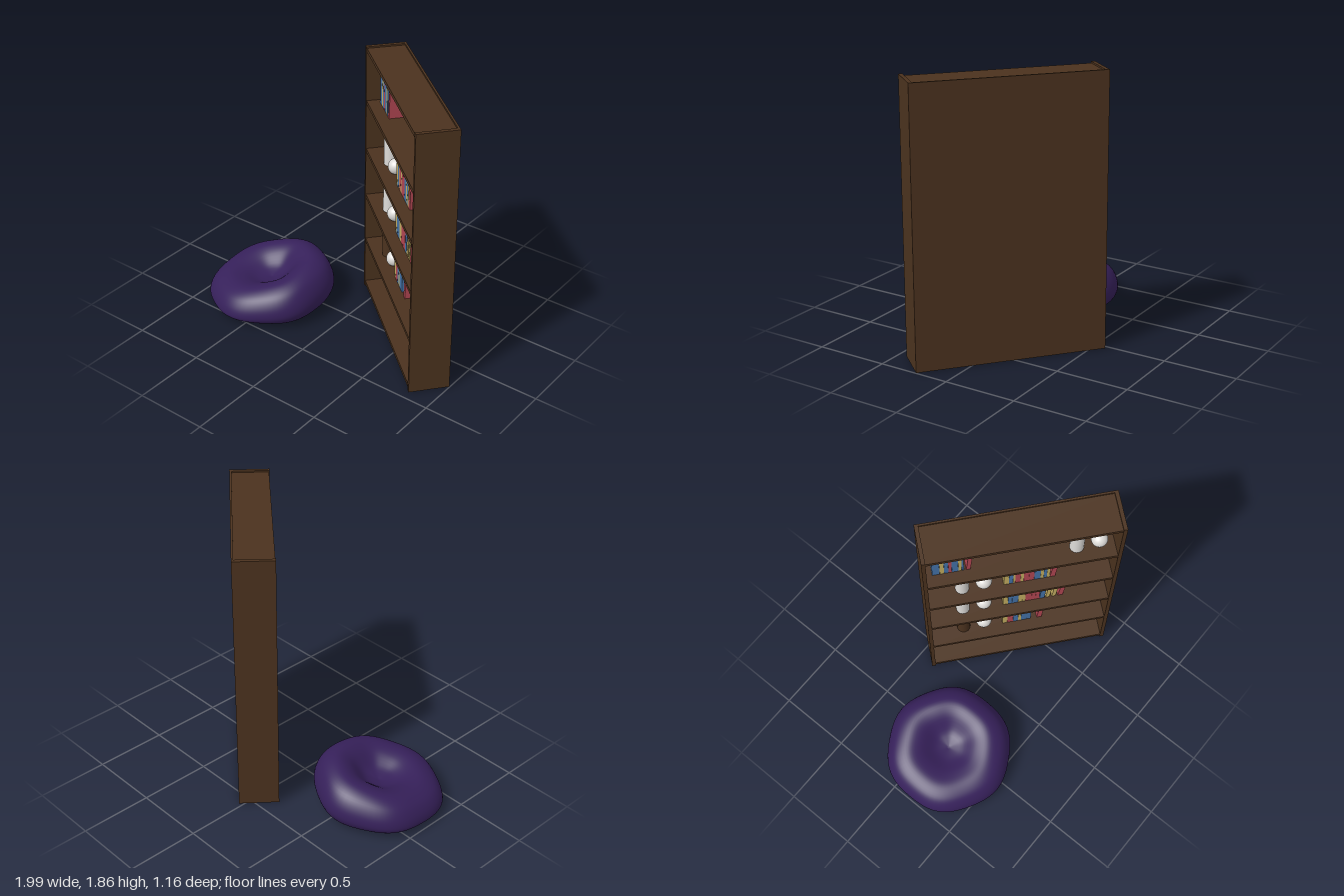
import * as THREE from 'three';
import { mergeVertices } from 'three/addons/utils/BufferGeometryUtils.js';

const material = (name, color) => {
  const m = new THREE.MeshStandardMaterial({ color });
  m.name = name;
  return m;
};

export function createModel() {
  const wood = material('walnut', 0x4b321e);
  const white = material('ceramic white', 0xdedcd9);
  const purple = material('purple fabric', 0x36205a);
  const gold = material('gold', 0xc4ad62);
  const covers = {
    r: material('red cover', 0xb34753),
    b: material('blue cover', 0x4573a8),
    y: gold,
  };

  const model = new THREE.Group();
  const bookcase = new THREE.Group();
  bookcase.name = 'bookcase';
  bookcase.position.set(0.425, 0, -0.0705);
  bookcase.rotation.y = THREE.MathUtils.degToRad(-40);
  model.add(bookcase);

  const add = (parent, name, geometry, mat, x, y, z) => {
    const mesh = new THREE.Mesh(geometry, mat);
    mesh.name = name;
    mesh.position.set(x, y, z);
    parent.add(mesh);
  };
  const box = (parent, name, w, h, d, mat, x, y, z) =>
    add(parent, name, new THREE.BoxGeometry(w, h, d), mat, x, y, z);

  // Carcass: full back panel, two sides and six boards between them
  const H = 1.857, W = 1.266, D = 0.27, T = 0.026, B = 0.014;
  box(bookcase, 'back', W, H, B, wood, 0, H / 2, (B - D) / 2);
  for (const s of [-1, 1]) box(bookcase, 'side', T, H, D - B, wood, s * (W - T) / 2, H / 2, B / 2);
  const boardTops = [0.043, 0.4, 0.755, 1.112, 1.47, 1.846];
  boardTops.forEach((y, i) => {
    box(bookcase, 'shelf', W - 2 * T, 0.026, D - B - 0.003, wood, 0, y - 0.013, B / 2 - 0.0015);
    // Slim trim under the front edge of the inner shelves
    if (i > 0 && i < 5) box(bookcase, 'shelfTrim', W - 2 * T, 0.004, 0.006, gold, 0, y - 0.028, 0.126);
  });

  // Books: colour, thickness, height, lean, gap before; stood side by side from startX
  const unit = 0.00698;
  const bookRow = (shelf, startX, list) => {
    const row = new THREE.Group();
    row.name = 'bookRow';
    row.position.set(startX, boardTops[shelf], 0);
    bookcase.add(row);
    let x = 0;
    for (const [key, width, height, lean = 0, gap = 0] of list) {
      x += gap * unit;
      const book = new THREE.Group();
      book.name = 'book';
      book.position.x = x;
      book.rotation.z = -lean;
      row.add(book);
      const w = width * unit;
      box(book, 'bookCover', w - 0.001, height, 0.15, covers[key], w / 2, height / 2, -0.025);
      x += w;
    }
  };
  bookRow(4, -0.565, [
    ['b', 7, 0.2], ['y', 4, 0.19], ['b', 4, 0.2], ['r', 3, 0.225], ['b', 6, 0.195],
    ['y', 3, 0.185], ['b', 2, 0.18], ['r', 4, 0.23, 0.08, 2],
  ]);
  bookRow(3, -0.105, [
    ['y', 5, 0.2], ['b', 4, 0.195], ['y', 2, 0.19], ['r', 5, 0.212], ['y', 3, 0.19],
    ['r', 5, 0.215], ['r', 5, 0.2], ['b', 6, 0.178], ['y', 3, 0.165], ['b', 3, 0.16],
    ['y', 3, 0.15], ['r', 5, 0.2, 0.09],
  ]);
  bookRow(2, -0.105, [
    ['y', 5, 0.225], ['b', 4, 0.215], ['b', 6, 0.2], ['y', 4, 0.165], ['y', 3, 0.2],
    ['r', 6, 0.215], ['r', 4, 0.19], ['r', 4, 0.175], ['b', 5, 0.18, 0.06],
    ['y', 4, 0.185, 0.09, 1], ['y', 4, 0.19, 0.1, 2], ['r', 5, 0.182, 0.11, 2],
  ]);
  bookRow(1, -0.105, [
    ['y', 5, 0.185], ['r', 6, 0.2], ['b', 5, 0.195], ['y', 3, 0.2], ['b', 6, 0.2],
    ['b', 4, 0.2], ['r', 5, 0.145, 0.08, 6],
  ]);

  // A round jar and a ball on each filled shelf
  const jar = new THREE.CylinderGeometry(0.046, 0.046, 0.2, 32);
  const ball = new THREE.SphereGeometry(0.054, 32, 20);
  for (const [shelf, x, mat] of [[4, 0.365, white], [3, -0.375, white], [2, -0.375, white], [1, -0.375, wood]]) {
    add(bookcase, 'jar', jar, mat, x, boardTops[shelf] + 0.1, 0.02);
    add(bookcase, 'ball', ball, white, x + 0.143, boardTops[shelf] + 0.054, 0.02);
  }

  add(model, 'beanBag', beanBagGeometry(), purple, -0.57, 0, 0.14);
  return model;
}

// Bean bag: a closed profile swept around, blending a low front into a high back
function beanBagGeometry() {
  const spline = (points) => new THREE.SplineCurve(points.map(([r, y]) => new THREE.Vector2(r, y)));
  const low = spline([
    [0, 0.004], [0.5, 0.01], [0.85, 0.027], [0.96, 0.036], [1, 0.054], [0.96, 0.11],
    [0.85, 0.165], [0.66, 0.2], [0.45, 0.195], [0.22, 0.168], [0, 0.16],
  ]);
  const high = spline([
    [0, 0.004], [0.5, 0.006], [0.8, 0.022], [0.92, 0.05], [1, 0.13], [0.97, 0.22],
    [0.85, 0.3], [0.65, 0.335], [0.45, 0.3], [0.22, 0.2], [0, 0.16],
  ]);
  const rings = 50, around = 72, backAngle = THREE.MathUtils.degToRad(-40);
  const positions = [], index = [];
  for (let i = 0; i <= rings; i++) {
    const a = low.getPoint(i / rings), b = high.getPoint(i / rings);
    for (let j = 0; j < around; j++) {
      const angle = (j / around) * Math.PI * 2;
      const p = a.clone().lerp(b, 0.5 + 0.5 * Math.cos(angle - backAngle));
      const r = p.x * 0.431 * (1 + 0.016 * Math.cos(6 * (angle - Math.PI / 2)));
      positions.push(r * Math.cos(angle), p.y, r * Math.sin(angle));
      if (i === rings) continue;
      const k = i * around + j, n = i * around + (j + 1) % around;
      index.push(k, k + around, n, n, k + around, n + around);
    }
  }
  let geometry = new THREE.BufferGeometry();
  geometry.setAttribute('position', new THREE.Float32BufferAttribute(positions, 3));
  geometry.setIndex(index);
  geometry = mergeVertices(geometry, 1e-5);
  geometry.computeVertexNormals();
  return geometry;
}
